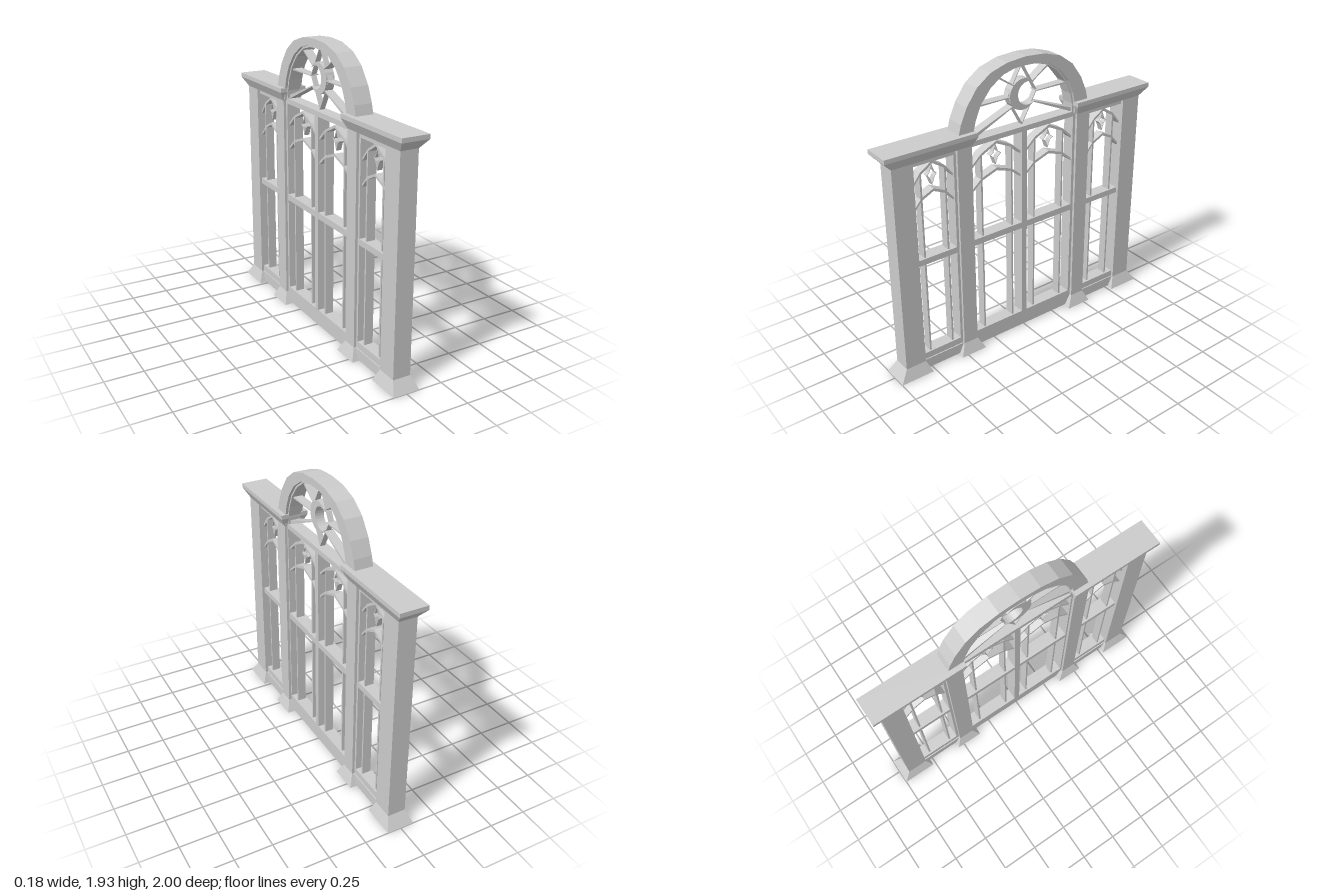
import * as THREE from 'three';

const mat = new THREE.MeshStandardMaterial({ color: 0xcccccc, flatShading: true });
const FRAME = 0.085, TRACERY = 0.06;

export function createModel() {
  const root = new THREE.Group();
  const add = (name, geo) => {
    const m = new THREE.Mesh(geo, mat);
    m.name = name;
    root.add(m);
    return m;
  };
  // Box spanning z0..z1 and y0..y1, centred across the thickness
  const box = (name, z0, z1, y0, y1, d) =>
    add(name, new THREE.BoxGeometry(d, y1 - y0, Math.abs(z1 - z0)).translate(0, (y0 + y1) / 2, (z0 + z1) / 2));

  // Tapered block: lower and upper rectangles given as [zMin, zMax, halfThickness]
  const taper = (name, lo, hi, y0, y1) => {
    const g = new THREE.BoxGeometry(2, 2, 2), p = g.attributes.position;
    for (let i = 0; i < p.count; i++) {
      const top = p.getY(i) > 0, r = top ? hi : lo;
      p.setXYZ(i, Math.sign(p.getX(i)) * r[2], top ? y1 : y0, p.getZ(i) > 0 ? r[1] : r[0]);
    }
    g.computeVertexNormals();
    return add(name, g);
  };

  // Extrude a (z, y) outline through the thickness
  const extrude = (name, shape, d) =>
    add(name, new THREE.ExtrudeGeometry(shape, { depth: d, bevelEnabled: false, curveSegments: 10 })
      .translate(0, 0, -d / 2).rotateY(-Math.PI / 2));
  const poly = (pts) => new THREE.Shape(pts.map(([z, y]) => new THREE.Vector2(z, y)));
  const ring = (outer, inner) => {
    const s = poly(outer);
    s.holes.push(new THREE.Path(inner.map(([z, y]) => new THREE.Vector2(z, y))));
    return s;
  };
  const mirror = (half, c) => [...half.map(([z, y]) => [c + z, y]),
    ...half.slice(0, -1).reverse().map(([z, y]) => [c - z, y])];

  // Pointed tracery arch: half-width w, shoulder position s, heights of end, shoulder and apex
  const pointedArch = (c, w, s, ends, t) => {
    const top = mirror([[w, ends[0]], [s, ends[1]], [0, ends[2]]], c);
    extrude('pointedArch', poly([...top, ...top.map(([z, y]) => [z, y - t]).reverse()]), TRACERY);
  };

  // Hollow four-pointed star
  const star = (c, y, w, h) => {
    const pts = (k) => Array.from({ length: 8 }, (_, i) => {
      const a = i * Math.PI / 4, f = i % 2 ? 0.018 : 1;
      return i % 2
        ? [c + Math.sign(Math.cos(a)) * f * k, y + Math.sign(Math.sin(a)) * f * k]
        : [c + Math.cos(a) * w * k, y + Math.sin(a) * h * k];
    });
    extrude('starOrnament', ring(pts(1), pts(0.86)), TRACERY * 0.6);
  };

  // One glazed light: two thin mullions, two pointed arches and a star
  const light = (c, w, s, starW) => {
    for (const k of [-1, 1]) {
      box('thinMullion', c + k * s - 0.006, c + k * s + 0.006, 0.11, 1.375, TRACERY);
    }
    pointedArch(c, w, s, [1.315, 1.385, 1.44], 0.018);
    pointedArch(c, w, s, [1.155, 1.22, 1.26], 0.018);
    star(c, 1.345, starW, 0.068);
  };

  // Side bays: posts, flared feet, cap and glazed panel
  for (const s of [1, -1]) {
    const range = (a, b, h) => [Math.min(s * a, s * b), Math.max(s * a, s * b), h];
    box('outerPost', s * 0.945, s * 0.805, 0.04, 1.48, 0.12);
    box('innerPost', s * 0.508, s * 0.405, 0.04, 1.48, 0.12);
    taper('outerFoot', range(1, 0.77, 0.092), range(0.945, 0.805, 0.06), 0, 0.08);
    taper('innerFoot', range(0.545, 0.36, 0.092), range(0.508, 0.405, 0.06), 0, 0.08);
    taper('capFlare', range(0.945, 0.405, 0.06), range(1, 0.38, 0.092), 1.47, 1.53);
    box('capSlab', s, s * 0.38, 1.53, 1.558, 0.184);
    box('sideSill', s * 0.81, s * 0.5, 0.01, 0.08, 0.1);
    box('sideBottomRail', s * 0.81, s * 0.5, 0.08, 0.125, FRAME);
    box('sideMiddleRail', s * 0.81, s * 0.5, 0.775, 0.815, FRAME);
    box('sideTopRail', s * 0.81, s * 0.5, 1.44, 1.48, FRAME);
    box('sideStile', s * 0.525, s * 0.5, 0.1, 1.46, FRAME);
    light(s * 0.662, 0.14, 0.084, 0.034);
  }

  // Central pair of doors
  const C = 0.004;
  box('doorBottomRail', 0.41, -0.41, 0.01, 0.12, FRAME);
  box('doorMiddleRail', 0.41, -0.41, 0.775, 0.818, FRAME);
  box('doorTopRail', 0.41, -0.41, 1.453, 1.487, FRAME);
  box('centreStile', C - 0.02, C + 0.02, 0.1, 1.47, FRAME);
  for (const s of [1, -1]) {
    box('doorStile', C + s * 0.39, C + s * 0.41, 0.1, 1.47, FRAME);
    light(C + s * 0.203, 0.19, 0.114, 0.043);
  }

  // Round-headed arch, thicker at the springing than at the crown
  const outer = mirror([[0.495, 1.48], [0.49, 1.555], [0.473, 1.62], [0.43, 1.716],
    [0.356, 1.818], [0.26, 1.887], [0.136, 1.925], [0, 1.935]], C);
  const innerHalf = [[0.392, 1.48], [0.388, 1.545], [0.37, 1.62], [0.33, 1.71],
    [0.26, 1.796], [0.166, 1.86], [0.08, 1.882], [0, 1.886]];
  const inner = mirror(innerHalf, C);
  extrude('mainArch', poly([...outer, ...[...inner].reverse()]), 0.12);
  const bead = mirror(innerHalf.map(([z, y]) => [z * 0.97, 1.48 + (y - 1.48) * 0.97]), C);
  extrude('archBead', poly([...inner, ...bead.reverse()]), FRAME);

  // Crescent at the middle of the fanlight
  const cy = 1.69, a = Math.PI - 0.6435, b = Math.PI - 0.9273;
  const moon = new THREE.Shape();
  moon.absarc(C, cy, 0.1, a, -a, true);
  moon.absarc(C - 0.035, cy, 0.075, -b, b, false);
  extrude('crescent', moon, TRACERY);

  // Thin diamond behind the crescent
  const diamond = (w, h) => [[C + w, cy], [C, cy + h], [C - w, cy], [C, cy - h]];
  extrude('fanlightDiamond', ring(diamond(0.112, 0.2), diamond(0.106, 0.19)), TRACERY * 0.6);

  // Rays tapering toward the centre: inner point, outer point, outer half-width
  const rays = [
    [[0.1, 1.69], [0.385, 1.69], 0.006],
    [[0.065, 1.755], [0.185, 1.835], 0.006],
    [[0.08, 1.625], [0.385, 1.497], 0.012],
  ];
  for (const s of [1, -1]) for (const [p, q, w] of rays) {
    const dz = q[0] - p[0], dy = q[1] - p[1], l = Math.hypot(dz, dy);
    const n = [-dy / l, dz / l];
    const corner = (pt, k) => [C + s * (pt[0] + n[0] * k), pt[1] + n[1] * k];
    extrude('fanlightRay', poly([corner(p, 0.003), corner(q, w), corner(q, -w), corner(p, -0.003)]), TRACERY);
  }
  return root;
}
